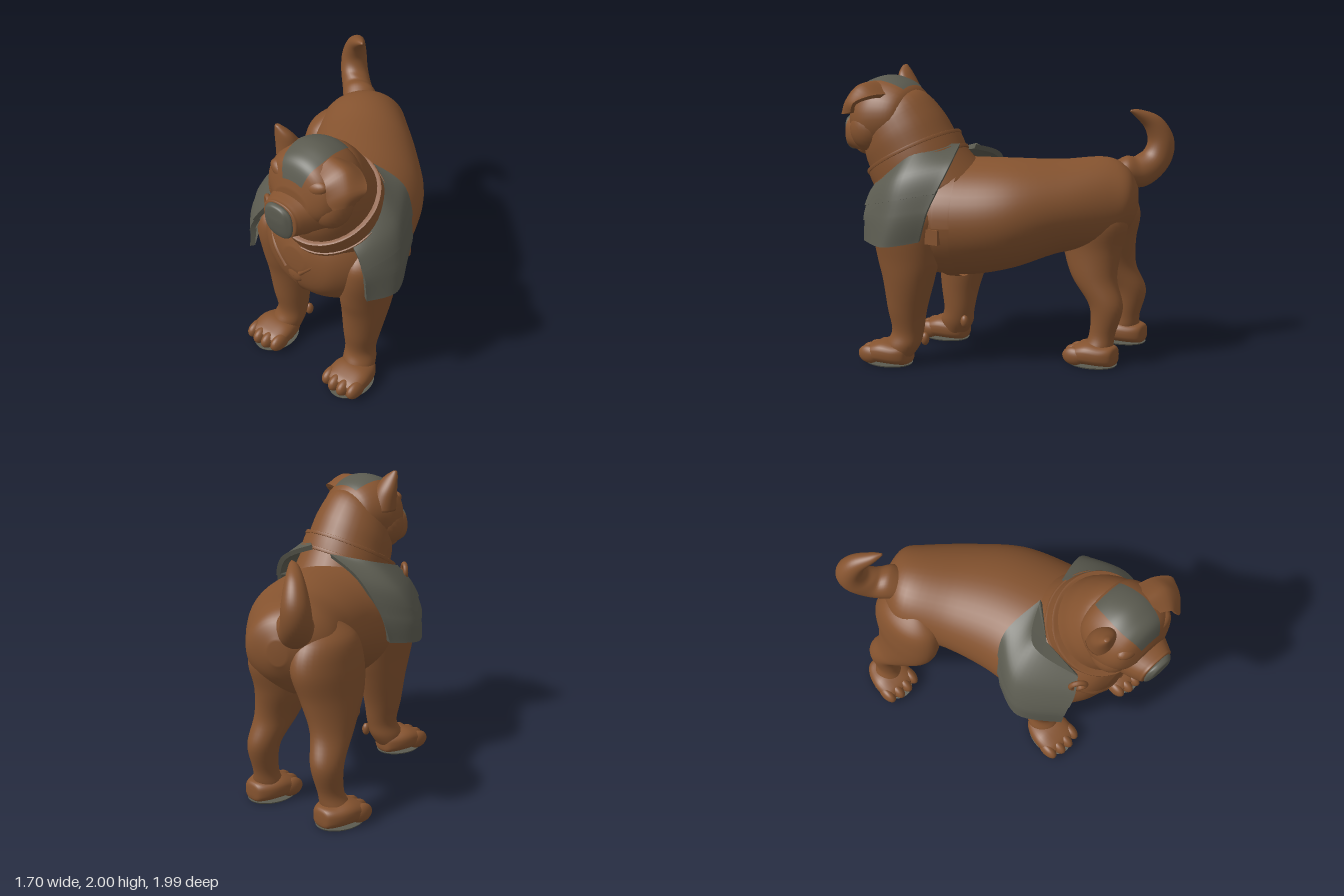
import * as THREE from 'three';
import { toCreasedNormals } from 'three/addons/utils/BufferGeometryUtils.js';

const brown = new THREE.MeshStandardMaterial({ color: 0x85532f, side: THREE.DoubleSide });
brown.name = 'brown coat';
const grey = new THREE.MeshStandardMaterial({ color: 0x5b5b50, side: THREE.DoubleSide });
grey.name = 'grey';

// Smooth interpolation through rows of numbers, s from 0 to rows.length - 1
function sample(rows, s) {
  const n = rows.length - 1, i = Math.min(Math.floor(s), n - 1), f = s - i;
  const [a, b, c, d] = [rows[Math.max(i - 1, 0)], rows[i], rows[i + 1], rows[Math.min(i + 2, n)]];
  return b.map((v, k) => v + 0.5 * f * (c[k] - a[k] + f * (2 * a[k] - 5 * v + 4 * c[k] - d[k]
    + f * (3 * (v - c[k]) + d[k] - a[k]))));
}

// Surface through loops of points
function skin(loops, closed = true) {
  const m = loops[0].length, pos = loops.flat().flatMap(p => [p.x, p.y, p.z]), idx = [];
  for (let i = 0; i < loops.length - 1; i++) for (let j = 0; j < (closed ? m : m - 1); j++) {
    const k = (j + 1) % m, a = i * m, b = a + m;
    idx.push(a + j, a + k, b + j, a + k, b + k, b + j);
  }
  if (closed) [0, loops.length - 1].forEach((r, end) => {
    const c = loops[r].reduce((s, p) => s.add(p), new THREE.Vector3()).divideScalar(m), ci = pos.length / 3;
    pos.push(c.x, c.y, c.z);
    for (let j = 0; j < m; j++) {
      const p = r * m + j, q = r * m + (j + 1) % m;
      if (end) idx.push(ci, p, q); else idx.push(ci, q, p);
    }
  });
  const g = new THREE.BufferGeometry();
  g.setAttribute('position', new THREE.Float32BufferAttribute(pos, 3));
  g.setIndex(idx);
  g.computeVertexNormals();
  return g;
}

// Loft through rings [x, y, z, radiusU, radiusV, yaw, pitch]; arc cuts out an open strip of it
function loft(rings, { from = 0, to = 1, arc = null, grow = 0, e = 1, steps = 6, sides = 36 } = {}) {
  const rows = rings.map(r => [...r, 0, 0].slice(0, 7)), n = rows.length - 1, count = n * steps, loops = [];
  for (let i = 0; i <= count; i++) {
    const [x, y, z, a, b, yaw, pitch] = sample(rows, n * (from + (to - from) * i / count));
    const turn = new THREE.Euler(pitch, yaw, 0, 'YXZ'), loop = [];
    const pw = v => Math.sign(v) * Math.abs(v) ** e;
    for (let j = 0; j < (arc ? sides + 1 : sides); j++) {
      const t = arc ? arc[0] + (arc[1] - arc[0]) * j / sides : 2 * Math.PI * j / sides;
      loop.push(new THREE.Vector3((Math.max(a, 0.004) + grow) * pw(Math.cos(t)),
        (Math.max(b, 0.004) + grow) * pw(Math.sin(t)), 0).applyEuler(turn).add(new THREE.Vector3(x, y, z)));
    }
    loops.push(loop);
  }
  return skin(loops, !arc);
}

// Thick curved plate; each row holds three points, thickness goes towards a centre
function plate(rows, centre, { from = 0, to = rows.length - 1, lift = 0, thick = 0.03 } = {}) {
  const c = new THREE.Vector3(...centre), loops = [], n = 14, m = 18;
  for (let i = 0; i <= n; i++) {
    const r = sample(rows, from + (to - from) * i / n), outer = [], inner = [];
    for (let j = 0; j <= m; j++) {
      const q = sample([r.slice(0, 3), r.slice(3, 6), r.slice(6, 9)], 2 * j / m);
      const p = new THREE.Vector3(...q), d = p.clone().sub(c).normalize();
      outer.push(p.clone().addScaledVector(d, lift));
      inner.unshift(p.clone().addScaledVector(d, lift - thick));
    }
    loops.push([...outer, ...inner]);
  }
  return toCreasedNormals(skin(loops), 0.7);
}

const DOWN = Math.PI / 2;
const downward = rings => rings.map(r => [...r, 0, DOWN]);

export function createModel() {
  const model = new THREE.Group();
  model.name = 'armouredDog';
  const add = (name, geo, mat = brown, parent = model) => {
    const mesh = new THREE.Mesh(geo, mat);
    mesh.name = name;
    parent.add(mesh);
    return mesh;
  };
  const blob = (name, p, s, parent = model) => {
    const mesh = add(name, new THREE.SphereGeometry(1, 24, 16), brown, parent);
    mesh.position.set(...p);
    mesh.scale.set(...s);
    return mesh;
  };
  const tube = (name, pts, r) => add(name, new THREE.TubeGeometry(
    new THREE.CatmullRomCurve3(pts.map(p => new THREE.Vector3(...p))), 30, r, 8));

  // Torso, curving from rump to chest
  const body = [
    [-0.40, 1.12, -0.86, 0.06, 0.08, 0.55], [-0.37, 1.12, -0.80, 0.22, 0.21, 0.55],
    [-0.32, 1.09, -0.66, 0.32, 0.31, 0.55], [-0.12, 1.075, -0.42, 0.38, 0.315, 0.55],
    [0.06, 1.03, -0.16, 0.45, 0.37, 0.5], [0.16, 1.00, 0.10, 0.48, 0.40, 0.35],
    [0.22, 1.00, 0.32, 0.48, 0.40, 0.15], [0.25, 1.00, 0.52, 0.42, 0.36, 0.05],
    [0.27, 1.03, 0.68, 0.27, 0.24], [0.27, 1.06, 0.74, 0.08, 0.08]];
  add('torso', loft(body, { sides: 48 }));
  add('girthStrap', loft(body, { from: 0.575, to: 0.615, arc: [0, 2 * Math.PI], grow: 0.012, steps: 1, sides: 48 }));

  // Neck and tilted collar
  const tilt = -1.07;
  add('neck', loft([
    [0.28, 1.12, 0.30, 0.38, 0.38, 0, tilt], [0.34, 1.38, 0.44, 0.31, 0.33, 0, tilt],
    [0.36, 1.55, 0.53, 0.29, 0.31, 0, -0.95], [0.375, 1.66, 0.60, 0.24, 0.26, 0, -0.7],
    [0.375, 1.70, 0.65, 0.1, 0.1, 0, -0.5]]));
  const band = (name, h, w, r) => add(name, toCreasedNormals(loft([-w, -w * 0.9, w * 0.9, w].map((d, i) =>
    [0.34, 1.38 + (h + d) * 0.876, 0.44 + (h + d) * 0.48, r - (i % 3 ? 0 : 0.015), r + 0.01 - (i % 3 ? 0 : 0.015), 0, tilt]),
  { sides: 48, steps: 2 }), 0.6));
  band('collar', 0, 0.06, 0.335);
  band('collarUpperEdge', 0.055, 0.012, 0.340);
  band('collarLowerEdge', -0.055, 0.012, 0.344);

  // Head, muzzle and nose
  const head = [
    [0.375, 1.66, 0.38, 0.08, 0.10], [0.375, 1.68, 0.45, 0.23, 0.20], [0.375, 1.67, 0.60, 0.29, 0.27],
    [0.375, 1.66, 0.72, 0.285, 0.265], [0.375, 1.67, 0.81, 0.23, 0.20], [0.375, 1.62, 0.86, 0.13, 0.10]];
  add('head', loft(head));
  add('foreheadPatch', loft(head, { from: 0.2, to: 0.92, arc: [DOWN - 0.46, DOWN + 0.46], grow: 0.008 }), grey);
  add('muzzle', loft([
    [0.37, 1.56, 0.66, 0.25, 0.17], [0.365, 1.55, 0.78, 0.20, 0.145], [0.36, 1.545, 0.87, 0.165, 0.13],
    [0.36, 1.545, 0.925, 0.14, 0.12], [0.36, 1.545, 0.947, 0.12, 0.112], [0.36, 1.545, 0.95, 0.03, 0.03]], { e: 0.85 }));
  add('nose', loft([
    [0.36, 1.54, 0.93, 0.10, 0.10], [0.36, 1.54, 0.953, 0.113, 0.12], [0.36, 1.56, 0.972, 0.095, 0.10],
    [0.36, 1.59, 0.986, 0.07, 0.06], [0.36, 1.595, 0.99, 0.03, 0.03]], { e: 0.8 }), grey);
  blob('chin', [0.36, 1.45, 0.79], [0.14, 0.06, 0.12]);
  for (const s of [-1, 1]) {
    blob('cheek', [0.375 + s * 0.18, 1.60, 0.68], [0.12, 0.15, 0.14]);
    blob('brow', [0.375 + s * 0.13, 1.765, 0.78], [0.1, 0.055, 0.055]).rotation.z = s * 0.35;
  }

  // One upright ear, one folded ear
  add('rightEar', loft([
    [0.165, 1.72, 0.62, 0.09, 0.10, 0, -DOWN], [0.158, 1.85, 0.64, 0.085, 0.075, 0, -DOWN],
    [0.147, 1.94, 0.67, 0.063, 0.045, 0, -DOWN], [0.125, 1.99, 0.69, 0.025, 0.02, 0, -DOWN],
    [0.118, 2.0, 0.69, 0.008, 0.008, 0, -DOWN]]));
  add('leftEar', plate([
    [0.50, 1.87, 0.75, 0.52, 1.92, 0.65, 0.55, 1.84, 0.52],
    [0.60, 1.84, 0.80, 0.66, 1.90, 0.68, 0.68, 1.84, 0.56],
    [0.64, 1.75, 0.83, 0.73, 1.80, 0.74, 0.78, 1.80, 0.63],
    [0.68, 1.70, 0.82, 0.73, 1.71, 0.76, 0.76, 1.73, 0.68]], [0.58, 1.7, 0.62]));

  // Tail curling up
  add('tail', loft([
    [-0.36, 1.25, -0.64, 0.09, 0.08, -2.5, 0.1], [-0.44, 1.29, -0.74, 0.12, 0.105, -2.5, 0],
    [-0.53, 1.29, -0.82, 0.11, 0.11, -2.5, -0.4], [-0.62, 1.38, -0.89, 0.10, 0.105, -2.5, -1.2],
    [-0.64, 1.50, -0.91, 0.09, 0.09, -2.5, -1.7], [-0.59, 1.62, -0.87, 0.065, 0.065, -2.5, -2.2],
    [-0.50, 1.69, -0.80, 0.035, 0.03, -2.5, -2.5], [-0.45, 1.71, -0.77, 0.008, 0.008, -2.5, -2.6]]));

  // Paws with four toes and a grey sole
  const paw = (name, x, z) => {
    const g = new THREE.Group();
    g.name = name;
    g.position.set(x, 0, z);
    model.add(g);
    add('foot', loft([[0, 0.07, -0.178, 0.02, 0.02], [0, 0.073, -0.165, 0.075, 0.062], [0, 0.078, -0.1, 0.12, 0.072],
      [0, 0.085, 0.0, 0.145, 0.079], [0, 0.07, 0.1, 0.138, 0.064], [0, 0.06, 0.14, 0.11, 0.045]], { e: 0.75 }), brown, g);
    [-1.5, -0.5, 0.5, 1.5].forEach(k =>
      blob('toe', [k * 0.073, 0.067, 0.115 - Math.abs(k) * 0.02], [0.044, 0.062, 0.085], g));
    const sole = add('sole', new THREE.CylinderGeometry(1, 0.97, 0.009, 32), grey, g);
    sole.scale.set(0.138, 1, 0.178);
    sole.position.y = 0.0045;
  };

  // Front legs, mirrored
  const front = downward([
    [0.60, 1.2, 0.34, 0.07, 0.10], [0.61, 1.08, 0.35, 0.15, 0.23], [0.60, 0.95, 0.36, 0.17, 0.25],
    [0.58, 0.75, 0.36, 0.16, 0.225], [0.57, 0.60, 0.365, 0.15, 0.185], [0.56, 0.40, 0.385, 0.125, 0.14],
    [0.55, 0.24, 0.39, 0.103, 0.112], [0.565, 0.14, 0.42, 0.11, 0.12], [0.58, 0.05, 0.44, 0.10, 0.08]]);
  add('leftFrontLeg', loft(front));
  add('rightFrontLeg', loft(front.map(([x, ...r]) => [0.47 - x, ...r])));

  // Hind legs, the left one set further back
  add('rightHindLeg', loft(downward([
    [-0.46, 1.27, -0.50, 0.05, 0.08], [-0.48, 1.17, -0.52, 0.15, 0.23], [-0.51, 1.0, -0.535, 0.165, 0.285],
    [-0.55, 0.80, -0.53, 0.145, 0.245], [-0.61, 0.60, -0.585, 0.115, 0.165], [-0.67, 0.41, -0.685, 0.10, 0.118],
    [-0.68, 0.22, -0.665, 0.08, 0.09], [-0.70, 0.12, -0.64, 0.10, 0.10], [-0.71, 0.05, -0.62, 0.09, 0.08]])));
  add('leftHindLeg', loft(downward([
    [-0.34, 1.27, -0.58, 0.05, 0.08], [-0.24, 1.17, -0.61, 0.17, 0.21], [-0.19, 1.0, -0.64, 0.18, 0.245],
    [-0.19, 0.80, -0.63, 0.165, 0.21], [-0.155, 0.60, -0.665, 0.13, 0.16], [-0.14, 0.41, -0.765, 0.10, 0.118],
    [-0.13, 0.22, -0.745, 0.08, 0.09], [-0.12, 0.12, -0.72, 0.10, 0.10], [-0.11, 0.05, -0.70, 0.09, 0.08]])));
  paw('leftFrontPaw', 0.588, 0.53);
  paw('rightFrontPaw', -0.118, 0.53);
  paw('rightHindPaw', -0.71, -0.61);
  paw('leftHindPaw', -0.11, -0.68);
  for (const x of [0.48, -0.01]) blob('dewclaw', [x, 0.17, 0.30], [0.028, 0.045, 0.03]);

  // Shoulder armour: three overlapping plates on each side
  const leftRows = [
    [0.34, 1.50, 0.10, 0.58, 1.48, 0.30, 0.62, 1.24, 0.57], [0.58, 1.38, 0.03, 0.74, 1.31, 0.30, 0.68, 1.18, 0.58],
    [0.72, 1.12, 0.10, 0.81, 1.08, 0.33, 0.74, 1.05, 0.59], [0.74, 0.91, 0.16, 0.84, 0.87, 0.38, 0.76, 0.88, 0.59]];
  const rightRows = [
    [0.15, 1.47, 0.10, -0.08, 1.43, 0.28, 0.01, 1.33, 0.60], [-0.14, 1.37, 0.08, -0.28, 1.26, 0.34, -0.07, 1.22, 0.66],
    [-0.29, 1.12, 0.16, -0.36, 1.07, 0.42, -0.16, 1.06, 0.68], [-0.33, 0.93, 0.21, -0.38, 0.90, 0.44, -0.19, 0.88, 0.68]];
  for (const [side, rows] of [['left', leftRows], ['right', rightRows]])
    [[0, 1.6, 0.02], [1.5, 2.2, 0.01], [2.1, 3, 0]].forEach(([from, to, lift], i) =>
      add(side + 'ShoulderPlate' + (i + 1), plate(rows, [0.23, 1.0, 0.3], { from, to, lift, thick: 0.035 }), grey));

  // Harness straps, ring and buckles
  for (const s of [-1, 1]) {
    tube('chestStrap', [[0.25 + s * 0.3, 1.2, 0.6], [0.25 + s * 0.17, 1.06, 0.705], [0.25 + s * 0.06, 0.95, 0.725]], 0.018);
    tube('lowerStrap', [[0.25 + s * 0.04, 0.88, 0.7], [0.25 + s * 0.18, 0.82, 0.63], [0.25 + s * 0.32, 0.8, 0.53]], 0.016);
  }
  tube('breastStrap', [[0.26, 0.92, 0.72], [0.25, 0.8, 0.67], [0.24, 0.68, 0.56], [0.22, 0.62, 0.36]], 0.018);
  blob('breastPlate', [0.26, 0.92, 0.71], [0.065, 0.065, 0.025]);
  const ring = add('collarRing', new THREE.TorusGeometry(0.05, 0.018, 10, 24));
  ring.position.set(-0.03, 1.3, 0.65);
  ring.rotation.y = -0.6;
  const buckle = add('girthBuckle', new THREE.BoxGeometry(0.05, 0.1, 0.1));
  buckle.position.set(0.66, 0.94, 0.1);
  return model;
}
